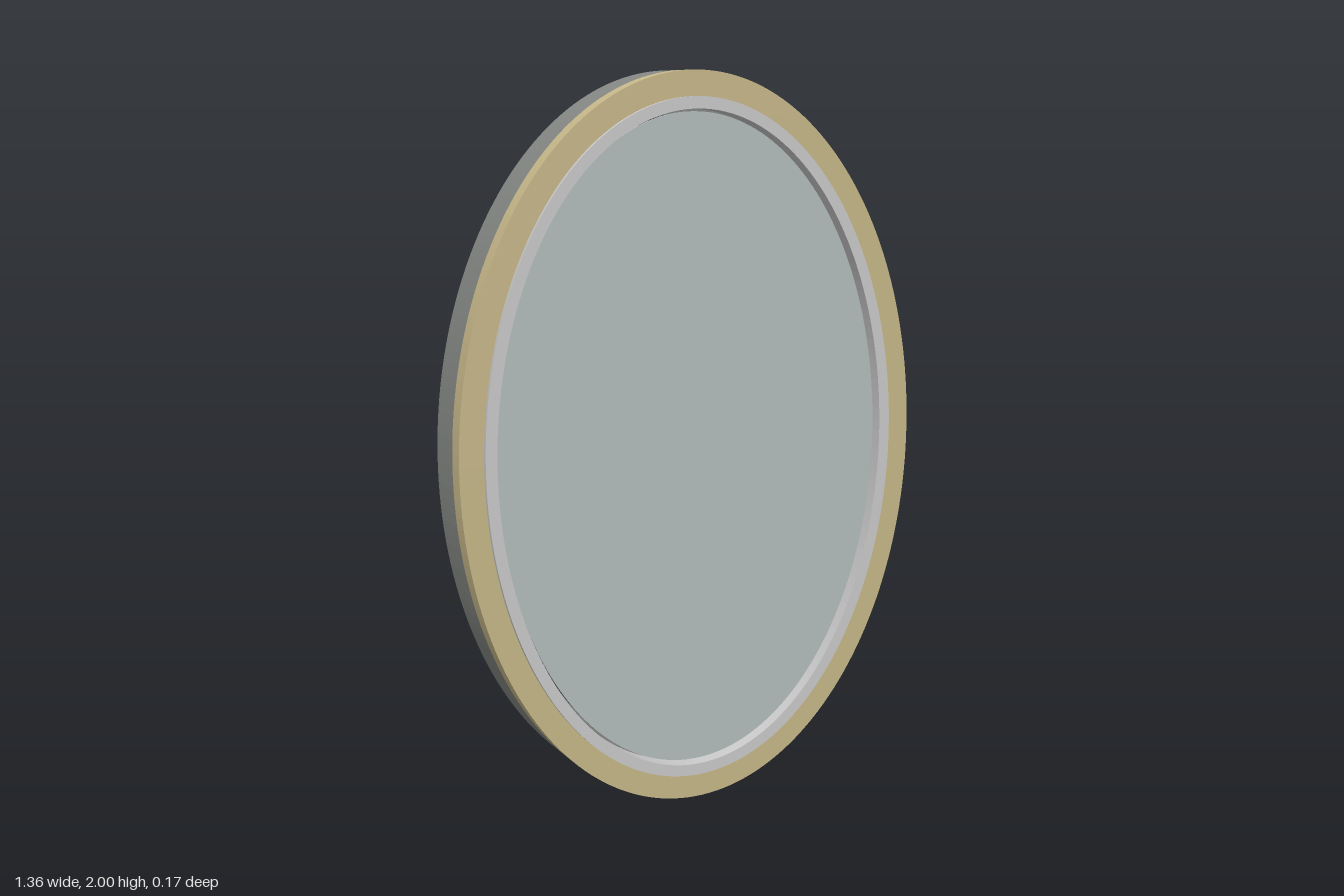
import * as THREE from 'three';

const SEGMENTS = 96;

// Trace an ellipse with the given half-width and half-height
function ellipse(path, rx, ry) {
  path.absellipse(0, 0, rx, ry, 0, Math.PI * 2, false, 0);
  return path;
}

// Oval slab between two depths, with an optional oval opening
function oval(name, color, outer, inner, zBack, zFront) {
  const shape = ellipse(new THREE.Shape(), ...outer);
  if (inner) shape.holes.push(ellipse(new THREE.Path(), ...inner));
  const geometry = new THREE.ExtrudeGeometry(shape, {
    depth: zFront - zBack,
    bevelEnabled: false,
    curveSegments: SEGMENTS,
  });
  geometry.translate(0, 1, zBack);
  const mesh = new THREE.Mesh(geometry, new THREE.MeshStandardMaterial({ color }));
  mesh.name = name;
  return mesh;
}

export function createModel() {
  const group = new THREE.Group();
  group.name = 'ovalMirror';
  group.add(
    // Deep grey housing, open at the back
    oval('housing', 0x858884, [0.68, 1], [0.57, 0.89], -0.088, 0.025),
    // Tan frame on the front of the housing
    oval('frame', 0xc8b98a, [0.68, 1], [0.61, 0.93], 0.025, 0.074),
    // Pale inner trim standing slightly proud of the frame
    oval('trim', 0xe0e0de, [0.612, 0.932], [0.58, 0.9], 0.025, 0.085),
    // Glass set just behind the front edge of the trim
    oval('glass', 0xb4bfbe, [0.573, 0.893], null, 0.054, 0.06),
  );
  return group;
}
